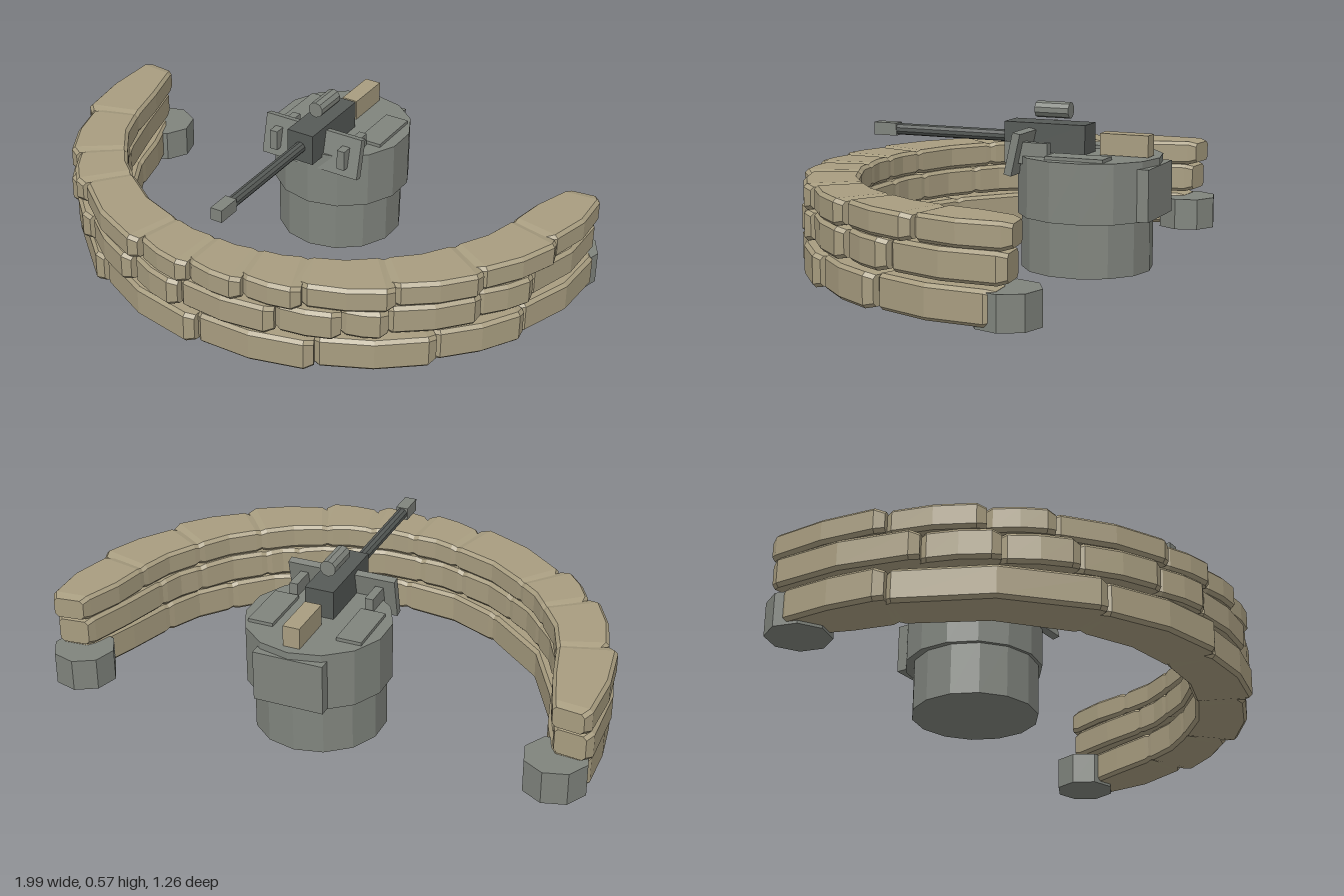
import * as THREE from 'three';

const mat = (name, color, extra = {}) => {
  const m = new THREE.MeshStandardMaterial({ color, ...extra });
  m.name = name;
  m.flatShading = true;
  return m;
};

// One sandbag: chamfered cross-sections swept round the arc (angles in degrees from +z)
function bagGeometry(a0, a1, y0, y1, taperStart, taperEnd) {
  const span = a1 - a0;
  const lip = Math.min(1.5, span * 0.15);
  // station: angle, inner radius, outer radius, vertical squeeze
  const stations = [
    [a0 - 0.4, taperStart ? 0.865 : 0.80, taperStart ? 0.975 : 0.95, 0.008],
    [a0 + lip, taperStart ? 0.85 : 0.797, taperStart ? 0.99 : 0.975, 0],
    [(a0 + a1) / 2, 0.803, 0.993, 0],
    [a1 - lip, taperEnd ? 0.85 : 0.797, taperEnd ? 0.99 : 1.002, 0],
    [a1 + 0.4, taperEnd ? 0.865 : 0.80, taperEnd ? 0.975 : 0.985, 0.008],
  ];
  const b = 0.012;
  const rings = stations.map(([deg, ri, ro, q]) => {
    const a = THREE.MathUtils.degToRad(deg), lo = y0 + q, hi = y1 - q;
    return [
      [ro - b, lo], [ro, lo + b], [ro, hi - b], [ro - b, hi],
      [ri + b, hi], [ri, hi - b], [ri, lo + b], [ri + b, lo],
    ].map(([r, y]) => [r * Math.sin(a), y, r * Math.cos(a)]);
  });
  const pos = [];
  const tri = (...pts) => pts.forEach((p) => pos.push(...p));
  for (let i = 0; i < rings.length - 1; i++) {
    for (let j = 0; j < 8; j++) {
      const k = (j + 1) % 8, A = rings[i], B = rings[i + 1];
      tri(A[j], B[j], B[k]);
      tri(A[j], B[k], A[k]);
    }
  }
  const first = rings[0], last = rings[rings.length - 1];
  for (let j = 1; j < 7; j++) {
    tri(first[0], first[j], first[j + 1]);
    tri(last[0], last[j + 1], last[j]);
  }
  const g = new THREE.BufferGeometry();
  g.setAttribute('position', new THREE.Float32BufferAttribute(pos, 3));
  g.computeVertexNormals();
  return g;
}

export function createModel() {
  const model = new THREE.Group();
  model.name = 'gunEmplacement';
  const tan = mat('sandTan', 0xa89d80);
  const grey = mat('concreteGrey', 0x80847d);
  const dark = mat('gunMetal', 0x565a57);

  const add = (parent, name, geo, material, x, y, z) => {
    const m = new THREE.Mesh(geo, material);
    m.name = name;
    m.position.set(x, y, z);
    parent.add(m);
    return m;
  };
  const box = (parent, name, material, w, h, d, x, y, z) =>
    add(parent, name, new THREE.BoxGeometry(w, h, d), material, x, y, z);

  // Sandbag wall: three courses with staggered seams
  const wall = new THREE.Group();
  wall.name = 'sandbagWall';
  model.add(wall);
  const courses = [
    { y0: 0.01, y1: 0.127, x: 0.0, seams: [-94, -72, -30, -1, 24, 48, 68, 94] },
    { y0: 0.135, y1: 0.241, x: -0.015, seams: [-96, -65, -50, -35, -17, -4, 17, 30, 39, 58, 71, 96] },
    { y0: 0.243, y1: 0.333, x: -0.01, seams: [-97, -72, -53, -40, -15, -2, 10, 22, 40, 58, 77, 97] },
  ];
  courses.forEach(({ y0, y1, x, seams }, c) => {
    for (let i = 0; i < seams.length - 1; i++) {
      const g = bagGeometry(seams[i], seams[i + 1], y0, y1, i === 0, i === seams.length - 2);
      add(wall, `sandbag${c + 1}_${i + 1}`, g, tan, x, 0, -0.38);
    }
  });

  // Footing block under each end of the wall
  for (const s of [-1, 1]) {
    const foot = add(model, s > 0 ? 'leftFooting' : 'rightFooting',
      new THREE.CylinderGeometry(0.112, 0.112, 0.118, 8), grey, s * 0.88, 0.059, -0.455);
    foot.rotation.y = s * 0.12;
  }

  // Pedestal and upper drum
  const cx = -0.01;
  const mount = new THREE.Group();
  mount.name = 'mount';
  model.add(mount);
  add(mount, 'pedestal', new THREE.CylinderGeometry(0.23, 0.23, 0.2, 14), grey, cx, 0.1, -0.37);
  add(mount, 'drum', new THREE.CylinderGeometry(0.252, 0.252, 0.208, 14), grey, cx, 0.294, -0.38);
  box(mount, 'rearPlate', grey, 0.25, 0.18, 0.06, cx, 0.283, -0.605);
  box(mount, 'ammoBox', tan, 0.06, 0.075, 0.175, cx, 0.437, -0.512);

  // Tilted front shield
  const shield = box(mount, 'shield', grey, 0.395, 0.15, 0.028, cx, 0.407, -0.166);
  shield.rotation.x = -0.22;

  // Hatches and brackets, mirrored about the mount
  for (const s of [-1, 1]) {
    box(mount, 'hatch', grey, 0.09, 0.014, 0.21, cx + s * 0.16, 0.403, -0.395);
    box(mount, 'bracket', grey, 0.03, 0.075, 0.16, cx + s * 0.14, 0.408, -0.2);
  }

  // Gun
  const gun = new THREE.Group();
  gun.name = 'gun';
  model.add(gun);
  box(gun, 'receiver', dark, 0.104, 0.115, 0.302, cx, 0.443, -0.226);
  const barrel = add(gun, 'barrel', new THREE.CylinderGeometry(0.021, 0.021, 0.46, 10), dark, cx, 0.443, 0.145);
  barrel.rotation.x = Math.PI / 2;
  box(gun, 'muzzle', grey, 0.044, 0.046, 0.09, cx, 0.443, 0.413);
  const sight = add(gun, 'sight', new THREE.CylinderGeometry(0.029, 0.029, 0.126, 10), grey, cx, 0.544, -0.242);
  sight.rotation.x = Math.PI / 2;

  return model;
}
